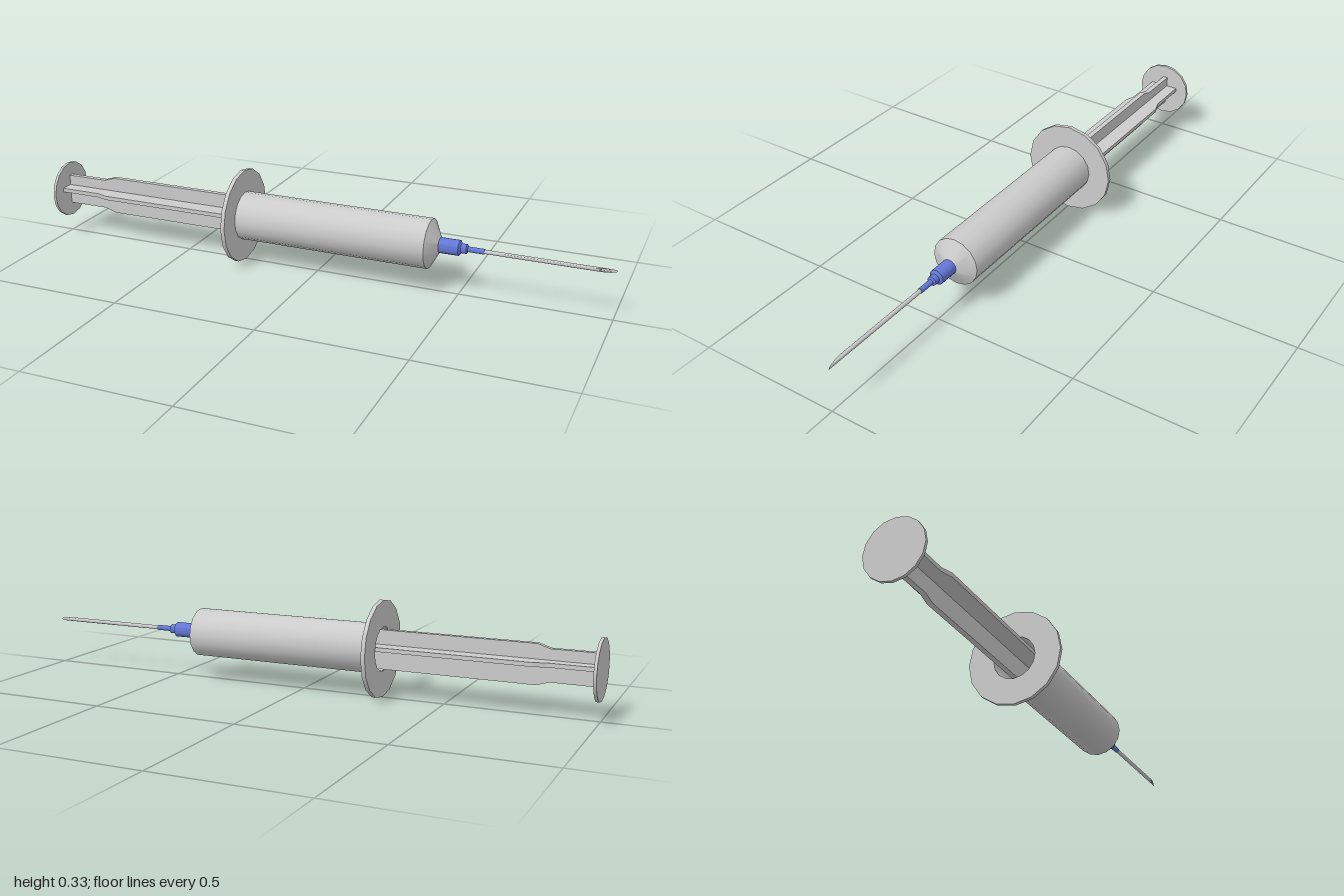
import * as THREE from 'three';
import { toCreasedNormals } from 'three/addons/utils/BufferGeometryUtils.js';

const AXIS_Y = 0.163;
const grey = new THREE.MeshStandardMaterial({ color: 0xcccccc });
const blue = new THREE.MeshStandardMaterial({ color: 0x6478d8 });

// Turned part along x; profile is a list of [x, radius]
function turned(name, profile, material = grey, sides = 16) {
  const points = profile.map(([x, r]) => new THREE.Vector2(r, x));
  const geometry = new THREE.LatheGeometry(points, sides).rotateZ(-Math.PI / 2);
  const mesh = new THREE.Mesh(toCreasedNormals(geometry, 0.5), material);
  mesh.name = name;
  return mesh;
}

// Solid disc or plug
const plug = (name, x0, x1, r) => turned(name, [[x0, 0], [x0, r], [x1, r], [x1, 0]]);

// Flat plunger rib, narrower at the thumb end
function rib(name, thickness) {
  const upper = [[-0.99, 0.053], [-0.84, 0.053], [-0.80, 0.066], [0.28, 0.066]];
  const lower = upper.map(([x, y]) => [x, -y]).reverse();
  const shape = new THREE.Shape([...upper, ...lower].map(([x, y]) => new THREE.Vector2(x, y)));
  const geometry = new THREE.ExtrudeGeometry(shape, { depth: thickness, bevelEnabled: false });
  geometry.translate(0, 0, -thickness / 2);
  const mesh = new THREE.Mesh(geometry, grey);
  mesh.name = name;
  return mesh;
}

// Hollow needle, its end cut on a slant facing +z
function makeNeedle() {
  const r = 0.007, x0 = 0.56, cut = 0.93, tip = 1.0;
  const profile = [[x0, r], [tip, r], [tip, r * 0.6], [x0, r * 0.6]];
  const needle = turned('needle', profile, grey, 12);
  const p = needle.geometry.attributes.position;
  for (let i = 0; i < p.count; i++) {
    if (p.getX(i) > cut) p.setX(i, cut + (tip - cut) * (r - p.getZ(i)) / (2 * r));
  }
  needle.geometry = toCreasedNormals(needle.geometry, 0.6);
  return needle;
}

export function createModel() {
  const model = new THREE.Group();
  model.name = 'syringe';
  model.position.y = AXIS_Y;

  // Hollow barrel with a conical shoulder
  model.add(turned('barrel', [
    [-0.285, 0.074], [-0.285, 0.084], [0.40, 0.084], [0.432, 0.025],
    [0.432, 0], [0.42, 0], [0.39, 0.074], [-0.285, 0.074],
  ]));

  // Finger flange ring
  model.add(turned('fingerFlange', [
    [-0.287, 0.074], [-0.287, 0.163], [-0.273, 0.163], [-0.273, 0.08],
  ]));

  // Plunger: crossed ribs, thumb disc and piston
  const plunger = new THREE.Group();
  plunger.name = 'plunger';
  const upright = rib('uprightRib', 0.018);
  upright.position.z = -0.003;
  const level = rib('levelRib', 0.014);
  level.rotation.x = Math.PI / 2;
  level.position.y = 0.01;
  plunger.add(upright, level, plug('thumbDisc', -1, -0.99, 0.1), plug('piston', 0.28, 0.36, 0.073));
  model.add(plunger);

  // Stepped needle hub
  model.add(turned('needleHub', [
    [0.425, 0], [0.425, 0.026], [0.498, 0.026], [0.504, 0.016],
    [0.522, 0.016], [0.526, 0.009], [0.58, 0.009], [0.58, 0],
  ], blue));

  model.add(makeNeedle());
  return model;
}
